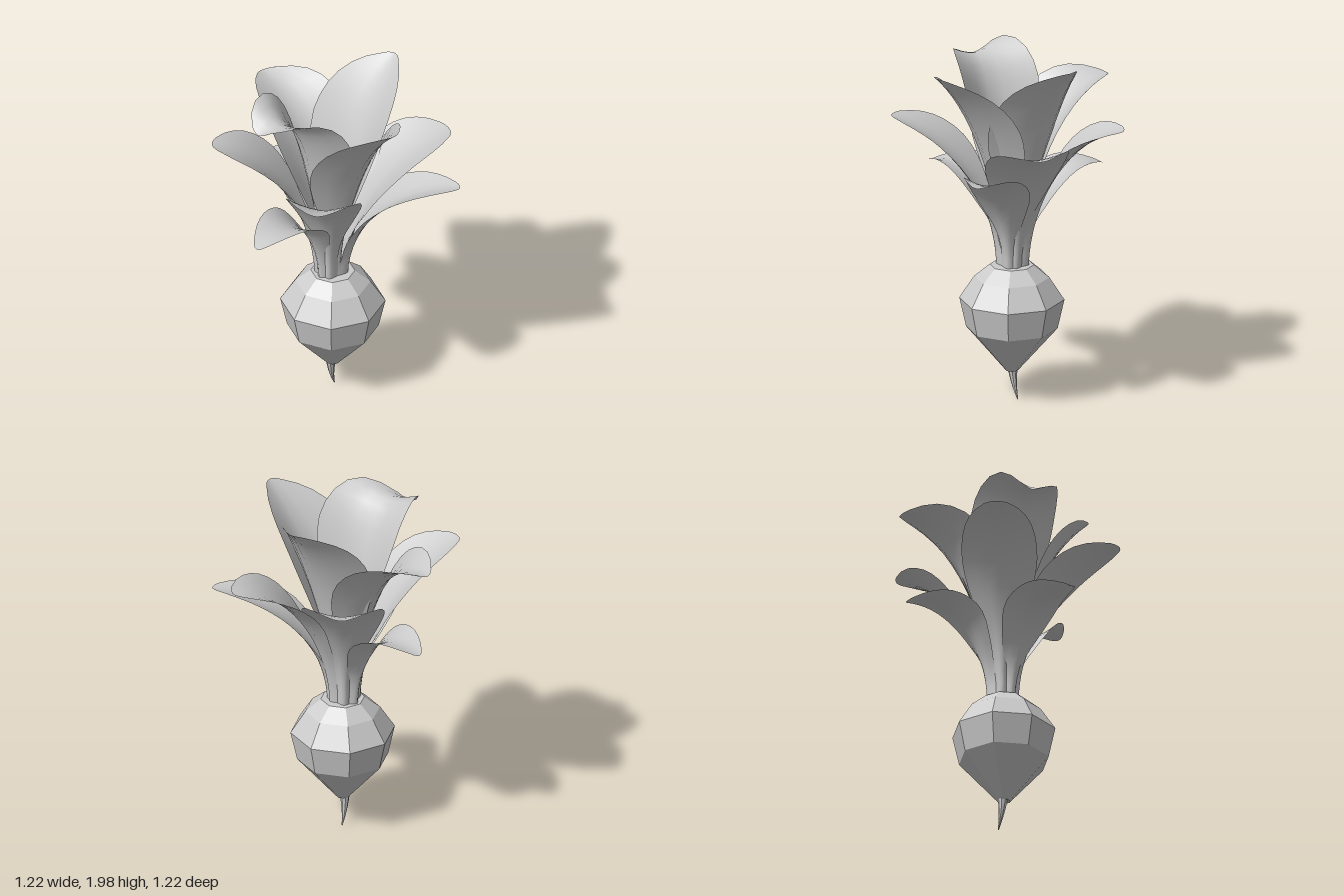
import * as THREE from 'three';

const { lerp, smoothstep } = THREE.MathUtils;
const skin = new THREE.MeshStandardMaterial({ color: 0xcccccc, flatShading: true });
const leafMat = new THREE.MeshStandardMaterial({ color: 0xcccccc, side: THREE.DoubleSide });

// Rings of leaves: stalk radius, stalk height, cupping, how far out the arch sits, where the
// blade is widest, tip width ratio, and per leaf the tip (x, y, z), arch height, half width, sideways bend
const rings = [
  { base: 0.07, rise: 1.2, cup: 0.55, reach: 0.42, widest: 0.65, tip: 0.25, leaves: {
    innerBackLeaf: [0, 1.98, -0.48, 1.74, 0.24, 0],
    innerFrontLeaf: [0, 1.83, 0.45, 2.1, 0.24, -0.1],
    innerLeftLeaf: [0.53, 1.94, 0.03, 1.67, 0.23, 0.01],
    innerRightLeaf: [-0.61, 1.75, -0.11, 1.78, 0.22, 0.04],
  } },
  { base: 0.09, rise: 1.14, cup: 0.32, reach: 0.52, widest: 0.67, tip: 0.36, leaves: {
    frontLeftLeaf: [0.43, 1.59, 0.51, 1.5, 0.19, 0],
    frontRightLeaf: [-0.38, 1.66, 0.53, 1.58, 0.19, 0],
    backRightLeaf: [-0.36, 1.58, -0.51, 1.53, 0.21, 0],
    backLeftLeaf: [0.31, 1.57, -0.6, 1.54, 0.21, 0],
  } },
  { base: 0.095, rise: 1.09, cup: 0.35, reach: 0.5, widest: 0.58, tip: 0.3, leaves: {
    lowBackLeftLeaf: [0.6, 1.43, -0.4, 1.4, 0.15, 0],
    lowFrontLeaf: [0.06, 1.23, 0.61, 1.35, 0.14, 0],
    lowRightLeaf: [-0.57, 1.25, -0.08, 1.35, 0.14, 0],
  } },
];

// Cupped blade swept along an arching spine, its stalk folded into a gutter
function makeLeaf(name, [x, y, z, archY, width, bend], { base, rise, cup, reach, widest, tip }) {
  const r = Math.hypot(x, z);
  const spine = new THREE.CubicBezierCurve(
    new THREE.Vector2(base, 0.76),
    new THREE.Vector2(base + 0.01, rise),
    new THREE.Vector2(r * reach, archY),
    new THREE.Vector2(r, y));
  const geo = new THREE.PlaneGeometry(2, 1, 6, 16);
  const pos = geo.attributes.position;
  for (let i = 0; i < pos.count; i++) {
    const u = pos.getX(i);
    const t = pos.getY(i) + 0.5;
    const p = spine.getPoint(t);
    const d = spine.getTangent(t);
    const taper = Math.max(0, t - widest) / (1 - widest);
    const w = 0.05 * (1 - t) + width * smoothstep(t, 0.08, widest) * (1 - (1 - tip) * taper ** 2.3);
    const fold = lerp(1, cup, smoothstep(t, 0, 0.4)) * (1 - 0.6 * t ** 4);
    const lift = fold * w * Math.abs(u) ** 1.5;
    // The tip's middle reaches a little past its corners
    const round = 0.03 * u * u * t ** 6;
    pos.setXYZ(i,
      u * w + bend * t ** 5,
      p.y + lift * d.x - round * d.y,
      p.x - lift * d.y - round * d.x);
  }
  geo.rotateY(Math.atan2(x, z));
  geo.computeVertexNormals();
  const mesh = new THREE.Mesh(geo, leafMat);
  mesh.name = name;
  return mesh;
}

export function createModel() {
  const model = new THREE.Group();
  model.name = 'rootVegetable';

  // Eight-sided faceted root
  const profile = [[0, 0.165], [0.035, 0.165], [0.25, 0.41], [0.287, 0.575], [0.205, 0.7], [0.12, 0.77], [0, 0.77]];
  const bulb = new THREE.Mesh(
    new THREE.LatheGeometry(profile.map(([r, y]) => new THREE.Vector2(r, y)), 8), skin);
  bulb.name = 'bulb';
  bulb.position.set(0.01, 0, -0.005);
  model.add(bulb);

  // Thin tail curling to the back
  const tailGeo = new THREE.CylinderGeometry(0.027, 0.003, 0.17, 8, 5);
  const tp = tailGeo.attributes.position;
  for (let i = 0; i < tp.count; i++) {
    const t = 0.5 - tp.getY(i) / 0.17;
    tp.setX(i, tp.getX(i) - 0.008 * t);
    tp.setZ(i, tp.getZ(i) - 0.033 * t * t);
  }
  const tail = new THREE.Mesh(tailGeo, skin);
  tail.name = 'tail';
  tail.position.y = 0.085;
  model.add(tail);

  // Leaf rosette
  const rosette = new THREE.Group();
  rosette.name = 'leaves';
  for (const ring of rings) {
    for (const [name, shape] of Object.entries(ring.leaves)) rosette.add(makeLeaf(name, shape, ring));
  }
  model.add(rosette);
  return model;
}
